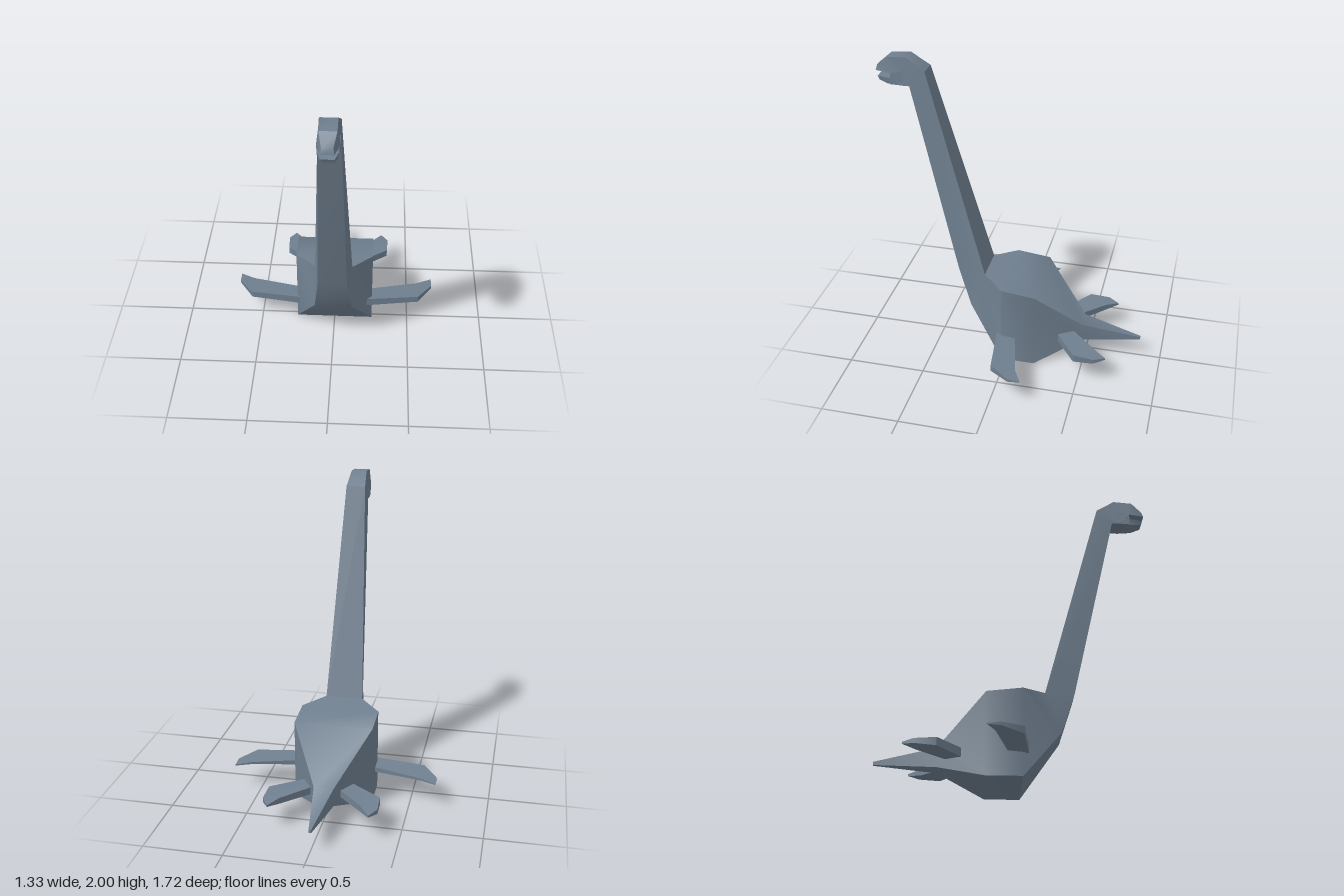
import * as THREE from 'three';
import { toCreasedNormals } from 'three/addons/utils/BufferGeometryUtils.js';

const skin = new THREE.MeshStandardMaterial({ color: 0x708090 });
skin.name = 'slate grey skin';

// Skin a row of four-cornered cross-sections and cap both ends
function loft(name, rings) {
  const pos = [];
  const quad = (a, b, c, d) => pos.push(...a, ...b, ...c, ...a, ...c, ...d);
  for (let i = 0; i < rings.length - 1; i++) {
    for (let j = 0; j < 4; j++) {
      const k = (j + 1) % 4;
      quad(rings[i][j], rings[i][k], rings[i + 1][k], rings[i + 1][j]);
    }
  }
  quad(...[...rings[0]].reverse());
  quad(...rings[rings.length - 1]);
  const geo = new THREE.BufferGeometry();
  geo.setAttribute('position', new THREE.Float32BufferAttribute(pos, 3));
  const mesh = new THREE.Mesh(toCreasedNormals(geo, 0.7), skin);
  mesh.name = name;
  return mesh;
}

// Symmetric section: upper edge (z, y, half width), lower edge (z, y, half width)
const section = ([zt, yt, wt, zb, yb, wb]) => [
  [wt, yt, zt], [-wt, yt, zt], [-wb, yb, zb], [wb, yb, zb],
];

// Flipper sections: leading x, z, thickness, then trailing x, z, thickness
function flipper(name, sections, side) {
  const y = 0.168;
  const rings = sections.map(([xl, zl, tl, xt, zt, tt]) => {
    const ring = [
      [side * xt, y + tt / 2, zt], [side * xl, y + tl / 2, zl],
      [side * xl, y - tl / 2, zl], [side * xt, y - tt / 2, zt],
    ];
    return side > 0 ? ring : ring.reverse();
  });
  return loft(name, rings);
}

export function createModel() {
  const group = new THREE.Group();
  group.name = 'longNeckedSeaReptile';

  // Tail, body, neck and skull, from tail tip to the back of the mouth
  group.add(loft('bodyAndNeck', [
    [-0.86, 0.15, 0.008, -0.86, 0.13, 0.008],
    [-0.48, 0.225, 0.063, -0.48, 0.105, 0.063],
    [-0.19, 0.52, 0.255, -0.19, 0, 0.255],
    [0.03, 0.545, 0.255, 0.03, 0, 0.255],
    [0.17, 0.565, 0.122, 0.27, 0.315, 0.12],
    [0.17, 0.565, 0.122, 0.355, 0.575, 0.094],
    [0.54, 1.92, 0.062, 0.64, 1.82, 0.066],
    [0.66, 2, 0.05, 0.7, 1.82, 0.066],
    [0.78, 1.99, 0.05, 0.76, 1.895, 0.064],
  ].map(section)));

  // Upper jaw
  group.add(loft('upperJaw', [
    [0.72, 1.99, 0.045, 0.7, 1.895, 0.06],
    [0.78, 1.99, 0.05, 0.76, 1.895, 0.064],
    [0.85, 1.93, 0.032, 0.86, 1.895, 0.038],
  ].map(section)));

  // Lower jaw and the flesh behind the mouth
  group.add(loft('mouthBack', [
    [0.68, 1.91, 0.06, 0.68, 1.82, 0.065],
    [0.76, 1.895, 0.064, 0.76, 1.82, 0.06],
  ].map(section)));
  group.add(loft('lowerJaw', [
    [0.68, 1.86, 0.062, 0.68, 1.82, 0.064],
    [0.78, 1.86, 0.058, 0.78, 1.82, 0.052],
    [0.85, 1.86, 0.038, 0.84, 1.835, 0.034],
  ].map(section)));

  // Two mirrored pairs of flippers
  const front = [
    [0.22, 0.066, 0.055, 0.2, -0.048, 0.035],
    [0.57, 0.02, 0.045, 0.57, -0.14, 0.015],
    [0.665, -0.11, 0.02, 0.665, -0.19, 0.006],
  ];
  const rear = [
    [0.15, -0.325, 0.055, 0.06, -0.39, 0.05],
    [0.355, -0.47, 0.05, 0.255, -0.59, 0.04],
    [0.36, -0.6, 0.03, 0.315, -0.67, 0.012],
  ];
  for (const [label, side] of [['left', 1], ['right', -1]]) {
    group.add(flipper(label + 'FrontFlipper', front, side));
    group.add(flipper(label + 'RearFlipper', rear, side));
  }
  return group;
}
